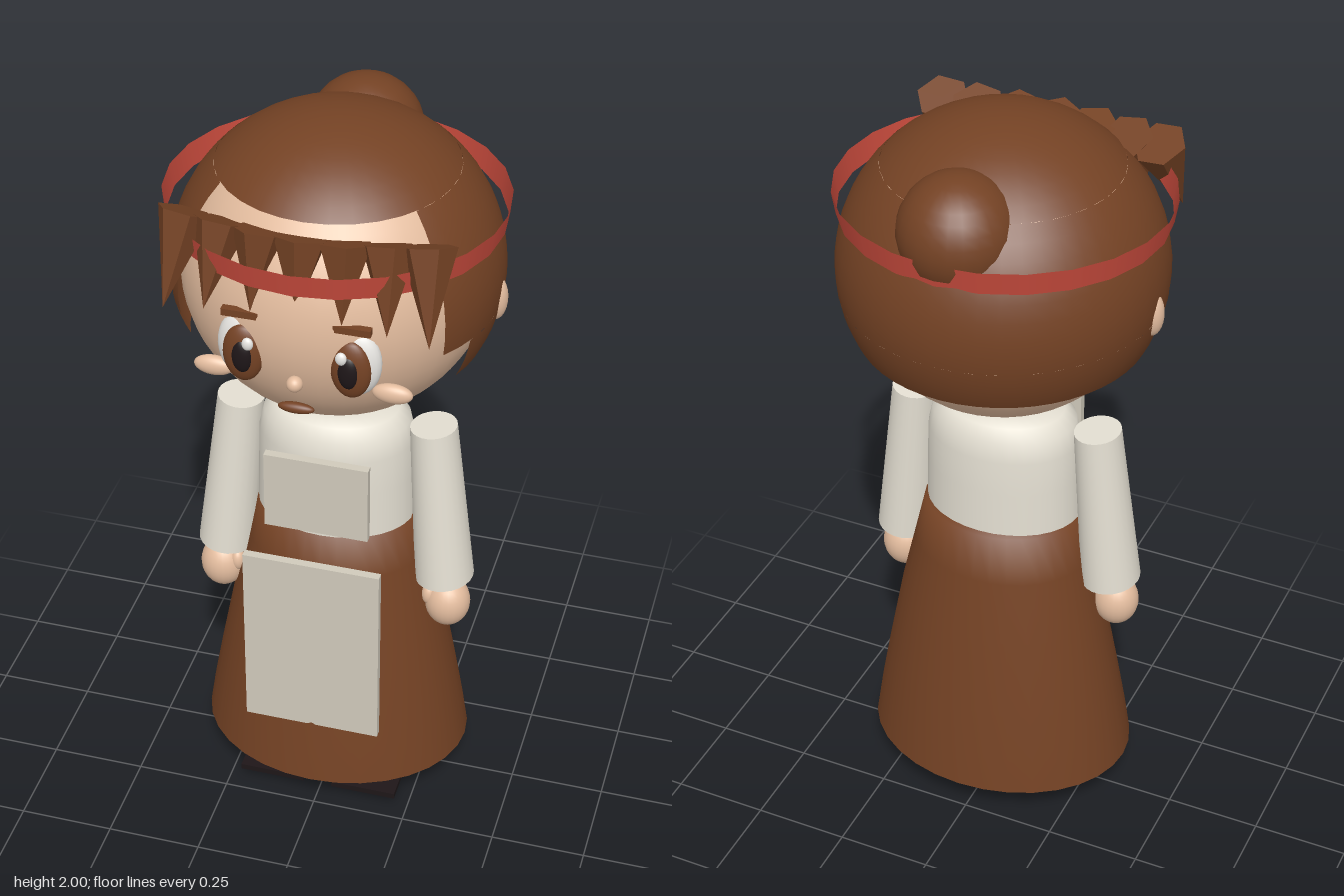
import * as THREE from 'three';

const mat = (name, color, double = true) => {
  const m = new THREE.MeshStandardMaterial({ color });
  m.name = name;
  if (double) m.side = THREE.DoubleSide;
  return m;
};

export function createModel() {
  const root = new THREE.Group();
  root.name = 'apronDoll';

  const brown = mat('brown', 0x744224);
  const bangBrown = mat('fringeBrown', 0x744224);
  bangBrown.flatShading = true;
  const skin = mat('skin', 0xe4bd9f);
  const cream = mat('cream', 0xe4dfd2);
  const linen = mat('linen', 0xd0cabb);
  const red = mat('red', 0xc64a3c);
  const white = mat('white', 0xf2f0ec);
  const dark = mat('dark', 0x1e1618);

  const add = (name, geo, material, x = 0, y = 0, z = 0, parent = root) => {
    const m = new THREE.Mesh(geo, material);
    m.name = name;
    m.position.set(x, y, z);
    parent.add(m);
    return m;
  };
  const ball = (name, material, [x, y, z], [rx, ry, rz]) =>
    add(name, new THREE.SphereGeometry(1, 24, 16).scale(rx, ry, rz), material, x, y, z);
  const box = (name, material, [x, y, z], [w, h, d]) =>
    add(name, new THREE.BoxGeometry(w, h, d), material, x, y, z);
  // Tapered tube running from point a to point b
  const limb = (name, material, a, b, ra, rb, sides, depth = 1) => {
    const from = new THREE.Vector3(...a), to = new THREE.Vector3(...b);
    const dir = to.clone().sub(from);
    const geo = new THREE.CylinderGeometry(rb, ra, dir.length(), sides).scale(1, 1, depth);
    const m = add(name, geo, material);
    m.position.copy(from).add(to).multiplyScalar(0.5);
    m.quaternion.setFromUnitVectors(new THREE.Vector3(0, 1, 0), dir.normalize());
    return m;
  };
  const lathe = (name, material, pts, depth, z) =>
    add(name, new THREE.LatheGeometry(pts.map(p => new THREE.Vector2(...p)), 32).scale(1, 1, depth),
      material, 0, 0, z);

  // Head and neck
  add('head', new THREE.SphereGeometry(0.385, 40, 28), skin, 0, 1.605, 0);
  add('neck', new THREE.CylinderGeometry(0.08, 0.08, 0.12, 24), skin, 0, 1.22, 0.01);

  // Hair: full crown, then rows that open towards the face
  const rad = THREE.MathUtils.degToRad;
  const hairRow = (name, open, t0, t1, rows) =>
    add(name, new THREE.SphereGeometry(0.41, 32, rows, rad(90 + open), rad(360 - 2 * open),
      rad(t0), rad(t1 - t0)).scale(1, 0.975, 1), brown, 0, 1.6, 0);
  hairRow('hairCrown', 0, 0, 46, 8);
  hairRow('hairSides', 53, 46, 99, 8);
  hairRow('hairNape', 66, 99, 117, 4);
  ball('hairBun', brown, [0, 1.82, -0.25], [0.147, 0.147, 0.147]);

  // Fringe of pointed locks
  const locks = [
    [0, 1.845, 0.305, 0, 1.66, 0.37],
    [0.1, 1.845, 0.3, 0.11, 1.66, 0.365],
    [0.2, 1.845, 0.285, 0.22, 1.655, 0.375],
    [0.29, 1.85, 0.275, 0.32, 1.64, 0.375],
  ];
  locks.forEach(([x, y, z, tx, ty, tz], i) => {
    for (const s of i ? [1, -1] : [1])
      limb('fringeLock', bangBrown, [s * x, y, z], [s * tx, ty, tz], 0.068, 0, 6);
  });

  // Headband
  add('headband', new THREE.CylinderGeometry(0.42, 0.41, 0.06, 24, 1, true).scale(1, 1, 0.955),
    red, 0, 1.775, 0.01);

  // Face centre
  ball('nose', skin, [0, 1.485, 0.378], [0.02, 0.02, 0.02]);
  ball('mouth', brown, [0, 1.41, 0.368], [0.045, 0.014, 0.014]);

  // Mirrored parts
  for (const s of [1, -1]) {
    ball('ear', skin, [s * 0.392, 1.555, -0.005], [0.03, 0.06, 0.03]);
    ball('eyeWhite', white, [s * 0.137, 1.547, 0.335], [0.063, 0.092, 0.035]);
    ball('iris', brown, [s * 0.131, 1.538, 0.358], [0.05, 0.078, 0.025]);
    ball('pupil', dark, [s * 0.129, 1.538, 0.374], [0.026, 0.045, 0.015]);
    ball('eyeGlint', white, [s * 0.113, 1.578, 0.38], [0.014, 0.017, 0.01]);
    box('eyebrow', brown, [s * 0.135, 1.65, 0.36], [0.09, 0.018, 0.02]);
    ball('cheek', skin, [s * 0.22, 1.455, 0.313], [0.05, 0.026, 0.02]);

    limb('sleeve', cream, [s * 0.295, 0.7, 0.028], [s * 0.253, 1.16, 0.015], 0.077, 0.06, 24, 1.08);
    ball('hand', skin, [s * 0.308, 0.62, 0.038], [0.06, 0.072, 0.058]);
    ball('thumb', skin, [s * 0.262, 0.645, 0.055], [0.02, 0.032, 0.022]);

    add('leg', new THREE.CylinderGeometry(0.078, 0.078, 0.36, 24), brown, s * 0.13, 0.24, 0);
    ball('foot', brown, [s * 0.13, 0.07, 0.035], [0.085, 0.07, 0.12]);
    box('sole', dark, [s * 0.128, 0.043, 0.065], [0.178, 0.016, 0.3]);
  }

  // Blouse and skirt
  lathe('blouse', cream, [[0.208, 0.87], [0.205, 1.0], [0.202, 1.1], [0.19, 1.155], [0.16, 1.185],
    [0.11, 1.197], [0, 1.2]], 0.78, 0.008);
  lathe('skirt', brown, [[0.36, 0.12], [0.345, 0.22], [0.32, 0.36], [0.278, 0.58], [0.238, 0.75],
    [0.208, 0.88], [0, 0.885]], 0.81, -0.003);

  // Apron panels
  box('apronBib', linen, [0, 1.02, 0.2], [0.27, 0.22, 0.022]);
  box('apronPanel', linen, [0, 0.57, 0.253], [0.36, 0.54, 0.022]);

  return root;
}
